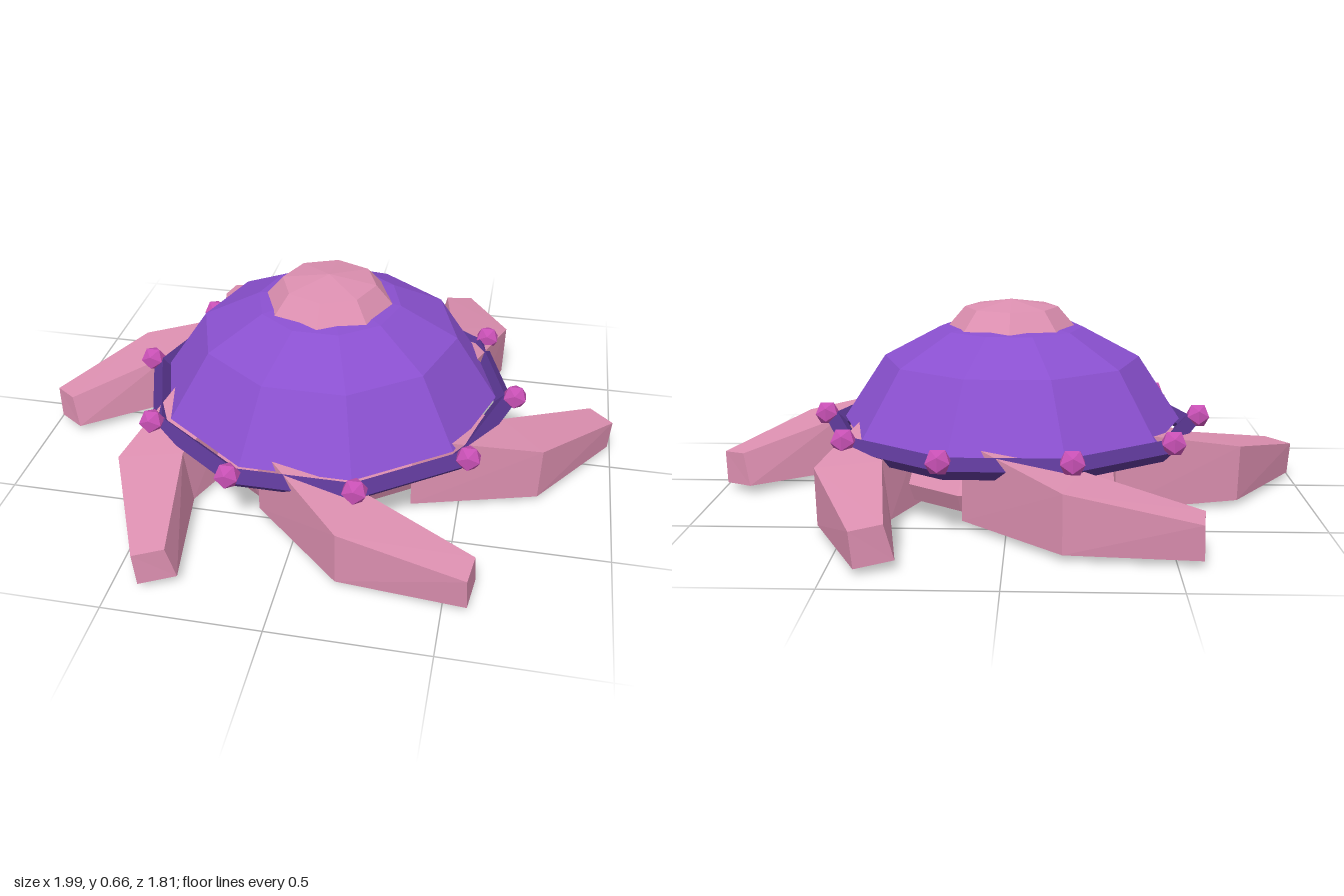
import * as THREE from 'three';

const mat = (name, color) => {
  const m = new THREE.MeshStandardMaterial({ color, flatShading: true });
  m.name = name;
  return m;
};

// Faceted solid of revolution with a corner on the +x axis
function turned(name, profile, sides, material) {
  const geo = new THREE.LatheGeometry(profile.map(([r, y]) => new THREE.Vector2(r, y)), sides);
  geo.rotateY(Math.PI / 2);
  const mesh = new THREE.Mesh(geo, material);
  mesh.name = name;
  return mesh;
}

// Bent, tapering limb lofted through four-cornered sections
function armGeometry() {
  // each section: outer top, inner top, inner bottom, outer bottom
  const sections = [
    [[-0.14, 0.28, 0.48], [0.06, 0.28, 0.36], [0.06, 0.02, 0.34], [-0.14, 0.02, 0.48]],
    [[0.17, 0.205, 0.78], [0.23, 0.215, 0.58], [0.23, 0.02, 0.555], [0.17, 0.02, 0.775]],
    [[0.57, 0.13, 0.82], [0.585, 0.14, 0.72], [0.59, 0.03, 0.69], [0.575, 0.02, 0.81]],
  ];
  const pos = [];
  const quad = (a, b, c, d) => pos.push(...a, ...b, ...c, ...a, ...c, ...d);
  for (let i = 0; i < sections.length - 1; i++) {
    for (let j = 0; j < 4; j++) {
      const k = (j + 1) % 4;
      quad(sections[i][j], sections[i + 1][j], sections[i + 1][k], sections[i][k]);
    }
  }
  const [ot, it, ib, ob] = sections[2];
  quad(ot, ob, ib, it);
  const [rot, rit, rib, rob] = sections[0];
  quad(rot, rit, rib, rob);
  const geo = new THREE.BufferGeometry();
  geo.setAttribute('position', new THREE.Float32BufferAttribute(pos, 3));
  geo.computeVertexNormals();
  return geo;
}

export function createModel() {
  const pink = mat('pink skin', 0xdc8fb0);
  const violet = mat('violet shell', 0x8a50cf);
  const darkViolet = mat('dark violet rim', 0x58358f);
  const magenta = mat('magenta beads', 0xc750b4);

  const model = new THREE.Group();
  model.name = 'domedCreature';

  // Soft underside
  model.add(turned('body', [[0, 0], [0.32, 0.005], [0.47, 0.04], [0.5, 0.1], [0.45, 0.17], [0, 0.19]], 10, pink));

  // Shell, its underside and its rim
  model.add(turned('shell', [[0.585, 0.24], [0.44, 0.46], [0.245, 0.563], [0, 0.6]], 10, violet));
  model.add(turned('shellUnderside', [[0, 0.15], [0.46, 0.155], [0.6, 0.21]], 10, darkViolet));
  const rimGeo = new THREE.TorusGeometry(0.615, 0.035, 4, 10);
  rimGeo.rotateX(Math.PI / 2);
  const rim = new THREE.Mesh(rimGeo, darkViolet);
  rim.name = 'rim';
  rim.position.y = 0.22;
  model.add(rim);

  // Cap on the crown
  model.add(turned('cap', [[0, 0.555], [0.222, 0.56], [0.16, 0.632], [0, 0.658]], 8, pink));

  // Beads on the rim corners
  const beadGeo = new THREE.IcosahedronGeometry(0.044, 0);
  for (let i = 0; i < 10; i++) {
    const a = (i * Math.PI) / 5;
    const bead = new THREE.Mesh(beadGeo, magenta);
    bead.name = 'bead';
    bead.position.set(0.65 * Math.cos(a), 0.25, 0.65 * Math.sin(a));
    model.add(bead);
  }

  // Six swirling arms
  const armGeo = armGeometry();
  for (let i = 0; i < 6; i++) {
    const arm = new THREE.Mesh(armGeo, pink);
    arm.name = 'arm';
    arm.rotation.y = (i * Math.PI) / 3;
    model.add(arm);
  }
  return model;
}
